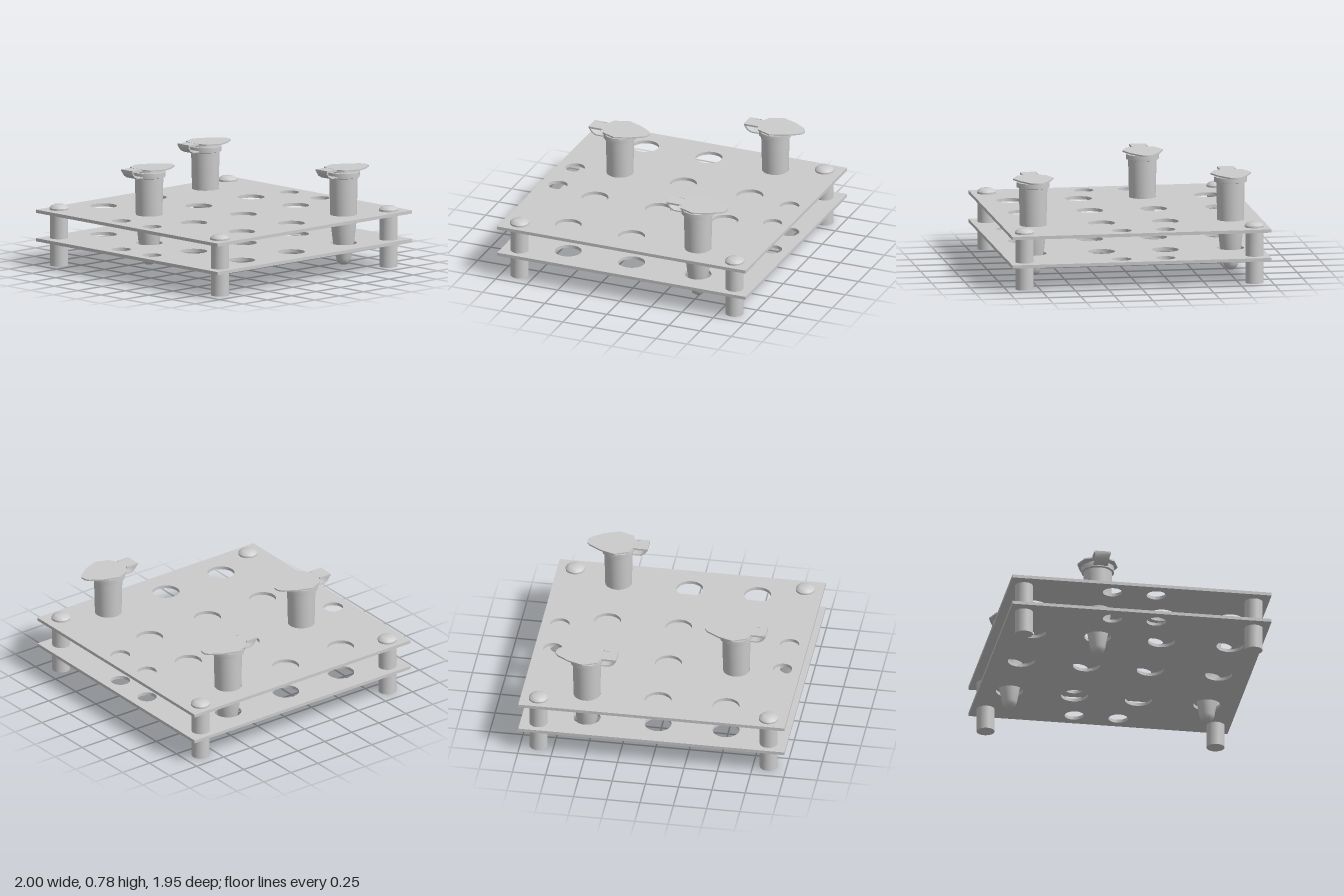
import * as THREE from 'three';
import { toCreasedNormals } from 'three/addons/utils/BufferGeometryUtils.js';

const material = new THREE.MeshStandardMaterial({ color: 0xcccccc, side: THREE.DoubleSide });

function part(name, geometry, parent, crease = 0.6) {
  const mesh = new THREE.Mesh(toCreasedNormals(geometry, crease), material);
  mesh.name = name;
  parent.add(mesh);
  return mesh;
}

const shapeOf = (points) => new THREE.Shape(points.map(([x, y]) => new THREE.Vector2(x, y)));
const lathe = (points, sides) =>
  new THREE.LatheGeometry(points.map(([r, y]) => new THREE.Vector2(r, y)), sides);

// Flat slab: outline in x/z, top face at the given height
function slab(shape, top, thickness) {
  return new THREE.ExtrudeGeometry(shape, { depth: thickness, bevelEnabled: false, curveSegments: 24 })
    .rotateX(Math.PI / 2).translate(0, top, 0);
}

// Square plate with the grid of tube holes and four smaller side holes
function plateShape() {
  const shape = shapeOf([[-1, -0.975], [1, -0.975], [1, 0.975], [-1, 0.975]]);
  const hole = (x, z, r) => shape.holes.push(new THREE.Path().absarc(x, z, r, 0, Math.PI * 2, true));
  for (const x of [-0.525, -0.015, 0.52])
    for (const z of [-0.745, -0.255, 0.225, 0.74]) hole(x, z, 0.1);
  for (const x of [-0.863, 0.863]) {
    hole(x, -0.2, 0.072);
    hole(x, 0.13, 0.072);
  }
  return shape;
}

// Tapered sample tube with collar, stopper, pointed lid and hinge strap
function createTube() {
  const tube = new THREE.Group();
  tube.name = 'tube';
  part('tubeBody', lathe([
    [0, 0.042], [0.025, 0.045], [0.045, 0.06], [0.056, 0.09], [0.08, 0.22],
    [0.096, 0.36], [0.099, 0.42], [0.106, 0.705],
  ], 32), tube);
  part('collar', lathe([
    [0.1, 0.7], [0.124, 0.707], [0.124, 0.745], [0.095, 0.745],
  ], 12), tube);
  part('stopper', lathe([
    [0.095, 0.74], [0.095, 0.755], [0.088, 0.768], [0, 0.768],
  ], 24), tube);

  const side = [[-0.13, 0.058], [-0.105, 0.11], [0, 0.152], [0.11, 0.11], [0.2, 0.05], [0.22, 0.02]];
  const mirrored = side.map(([x, z]) => [x, -z]).reverse();
  const lid = part('lid', slab(shapeOf([...side, ...mirrored]), 0.775, 0.011), tube);
  lid.rotation.z = -0.015;

  // Strap bends from the lid's tab down to the collar
  const strap = shapeOf([
    [-0.1, 0.775], [-0.228, 0.78], [-0.226, 0.758], [-0.205, 0.73], [-0.175, 0.713],
    [-0.115, 0.713], [-0.115, 0.721], [-0.17, 0.722], [-0.197, 0.737], [-0.216, 0.762],
    [-0.216, 0.77], [-0.1, 0.766],
  ]);
  part('hingeStrap', new THREE.ExtrudeGeometry(strap, { depth: 0.11, bevelEnabled: false })
    .translate(0, 0, -0.055), tube);
  for (const z of [-0.057, 0.057])
    part('hingeRail', new THREE.BoxGeometry(0.1, 0.014, 0.01).translate(-0.178, 0.772, z), tube);
  return tube;
}

export function createModel() {
  const model = new THREE.Group();
  model.name = 'tubeRack';

  // Two matching plates
  part('upperPlate', slab(plateShape(), 0.42, 0.024), model);
  part('lowerPlate', slab(plateShape(), 0.205, 0.024), model);

  // Corner posts with rounded screw heads
  for (const x of [-0.865, 0.865]) {
    for (const z of [-0.867, 0.862]) {
      const post = new THREE.Group();
      post.name = 'cornerPost';
      post.position.set(x, 0, z);
      part('post', new THREE.CylinderGeometry(0.067, 0.067, 0.41, 32).translate(0, 0.205, 0), post);
      part('screwHead', lathe([
        [0, 0.415], [0.072, 0.415], [0.072, 0.433], [0.06, 0.446], [0.043, 0.456], [0, 0.456],
      ], 16), post);
      model.add(post);
    }
  }

  // Three tubes in the rack
  for (const [x, z] of [[0.52, -0.745], [-0.525, -0.255], [0.52, 0.74]]) {
    const tube = createTube();
    tube.position.set(x, 0, z);
    model.add(tube);
  }
  return model;
}
